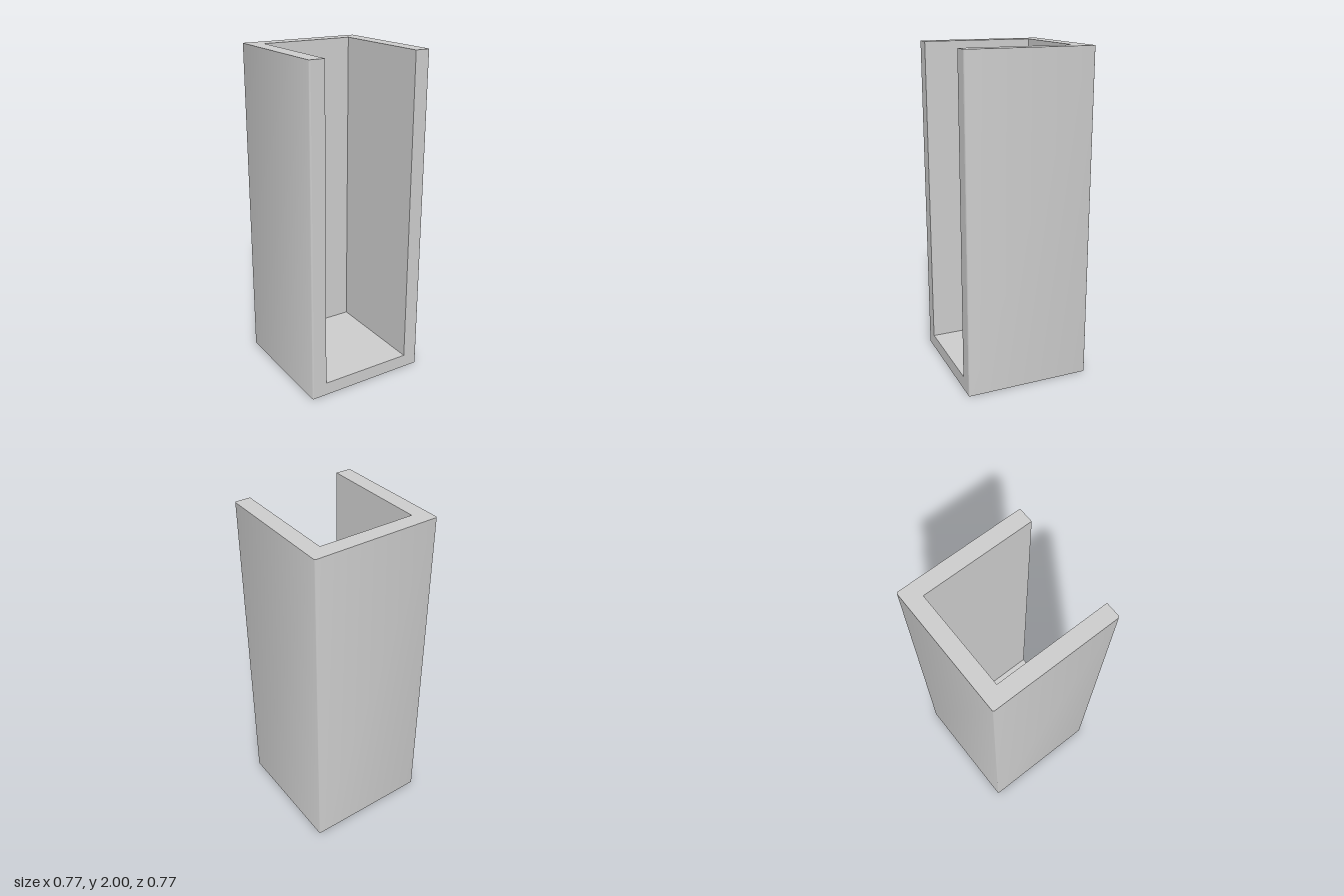
import * as THREE from 'three';
import { toCreasedNormals } from 'three/addons/utils/BufferGeometryUtils.js';

const H = 2, R = 0.385, INNER = 0.29, FLOOR = 0.08, FLOOR_UNDER = 0.065, BEVEL = 0.01;

// Vertical sheet standing on a plan path of [x, z] points
function wallSheet(path, y0, y1) {
  const pos = [];
  for (let i = 0; i < path.length - 1; i++) {
    const [ax, az] = path[i], [bx, bz] = path[i + 1];
    pos.push(ax, y0, az, bx, y0, bz, bx, y1, bz);
    pos.push(ax, y0, az, bx, y1, bz, ax, y1, az);
  }
  const geo = new THREE.BufferGeometry();
  geo.setAttribute('position', new THREE.Float32BufferAttribute(pos, 3));
  return toCreasedNormals(geo, 0.6);
}

function shapeFrom(points) {
  return new THREE.ShapeGeometry(new THREE.Shape(points.map(([x, y]) => new THREE.Vector2(x, y))));
}

export function createModel() {
  const group = new THREE.Group();
  const material = new THREE.MeshStandardMaterial({ color: 0xcccccc, side: THREE.DoubleSide });
  const add = (name, geometry) => {
    const mesh = new THREE.Mesh(geometry, material);
    mesh.name = name;
    group.add(mesh);
    return mesh;
  };

  // Outer plan: right side, back, left side, with finely rounded corners
  const outer = [];
  const c = R - BEVEL;
  [[c, c, 90], [c, -c, 0], [-c, -c, -90], [-c, c, -180]].forEach(([cx, cz, start]) => {
    for (let i = 0; i <= 4; i++) {
      const a = THREE.MathUtils.degToRad(start - i * 22.5);
      outer.push([cx + BEVEL * Math.cos(a), cz + BEVEL * Math.sin(a)]);
    }
  });
  add('outerWalls', wallSheet(outer, 0, H));

  // Inner plan: left side, back, right side
  const inner = [[-INNER, R], [-INNER, -INNER], [INNER, -INNER], [INNER, R]];
  add('innerWalls', wallSheet(inner, FLOOR_UNDER, H));

  // Front face: two posts joined by a low sill
  add('frontFrame', shapeFrom([
    [-c, 0], [c, 0], [c, H], [INNER, H], [INNER, FLOOR],
    [-INNER, FLOOR], [-INNER, H], [-c, H],
  ])).position.z = R;

  // U-shaped top rim
  const rim = shapeFrom([...outer, ...inner].map(([x, z]) => [x, -z]));
  rim.rotateX(-Math.PI / 2);
  add('topRim', rim).position.y = H;

  // Raised floor slab, open space beneath
  const depth = R + INNER - 0.001;
  const floor = add('floor', new THREE.BoxGeometry(2 * INNER, FLOOR - FLOOR_UNDER, depth));
  floor.position.set(0, (FLOOR + FLOOR_UNDER) / 2, -INNER + depth / 2);

  return group;
}
